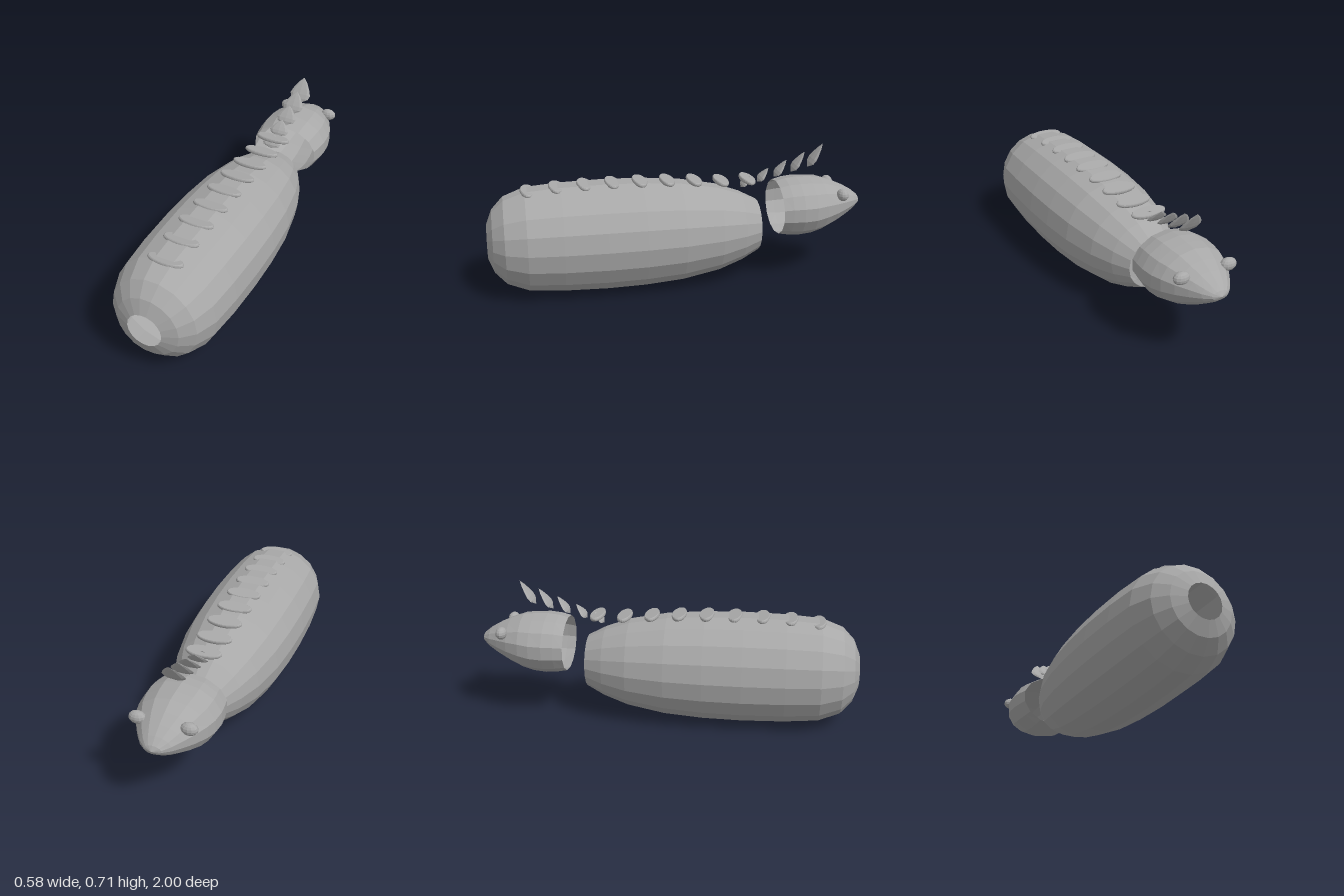
import * as THREE from 'three';

// Open or pointed skin through elliptical rings; each ring is [z, radiusX, radiusY, centreY].
function loft(rings, sides, start) {
  const pos = [], index = [];
  for (const [z, rx, ry, cy] of rings) {
    for (let i = 0; i < sides; i++) {
      const a = start + (i / sides) * Math.PI * 2;
      pos.push(rx * Math.cos(a), cy + ry * Math.sin(a), z);
    }
  }
  for (let r = 0; r < rings.length - 1; r++) {
    for (let i = 0; i < sides; i++) {
      const j = (i + 1) % sides;
      const a = r * sides + i, b = r * sides + j;
      const c = a + sides, d = b + sides;
      index.push(a, c, b, b, c, d);
    }
  }
  const g = new THREE.BufferGeometry();
  g.setAttribute('position', new THREE.Float32BufferAttribute(pos, 3));
  g.setIndex(index);
  g.computeVertexNormals();
  return g;
}

export function createModel() {
  const model = new THREE.Group();
  const grey = new THREE.MeshStandardMaterial({ color: 0xa8a8a8 });
  grey.name = 'grey';
  grey.flatShading = true;
  grey.side = THREE.DoubleSide;

  function add(name, geometry, parent = model) {
    const mesh = new THREE.Mesh(geometry, grey);
    mesh.name = name;
    parent.add(mesh);
    return mesh;
  }

  // Barrel body, open at both ends
  const bodyProfile = [
    [1, 0.091], [0.97, 0.165], [0.91, 0.228], [0.8, 0.27], [0.62, 0.284], [0.4, 0.289],
    [0.2, 0.285], [0, 0.27], [-0.2, 0.233], [-0.33, 0.187], [-0.425, 0.138],
  ];
  add('body', loft(bodyProfile.map(([z, r]) => [z, r, r, 0.286]), 18, 0));

  // Separate head shell, open towards the body and tapering to the snout
  add('head', loft([
    [-0.53, 0.187, 0.142, 0.379], [-0.58, 0.196, 0.153, 0.381], [-0.64, 0.203, 0.158, 0.382],
    [-0.71, 0.198, 0.153, 0.384], [-0.77, 0.183, 0.142, 0.39], [-0.84, 0.152, 0.114, 0.394],
    [-0.9, 0.115, 0.084, 0.397], [-0.95, 0.08, 0.053, 0.399], [-0.985, 0.044, 0.024, 0.4],
    [-1, 0, 0, 0.4],
  ], 14, Math.PI / 2));

  // Eyes
  for (const side of [1, -1]) {
    const eye = add(side > 0 ? 'leftEye' : 'rightEye', new THREE.SphereGeometry(1, 12, 8));
    eye.scale.set(0.043, 0.032, 0.03);
    eye.position.set(side * 0.128, 0.463, -0.862);
  }

  // Row of tilted oval plates along the back
  const plates = new THREE.Group();
  plates.name = 'backPlates';
  model.add(plates);
  const plateShape = new THREE.LatheGeometry([
    [0, -0.01], [0.087, -0.01], [0.093, -0.006], [0.095, 0],
    [0.093, 0.006], [0.087, 0.01], [0, 0.01],
  ].map(([x, y]) => new THREE.Vector2(x, y)), 24);
  const plateHeights = [0.543, 0.542, 0.552, 0.56, 0.564, 0.564, 0.562, 0.556, 0.542];
  plateHeights.forEach((y, i) => {
    const plate = add('backPlate', plateShape, plates);
    plate.scale.z = 0.42;
    plate.position.set(0, y, -0.37 + i * 0.144);
    plate.rotation.x = -0.17;
  });

  // Crest of leaf-shaped spines growing towards the head
  const crest = new THREE.Group();
  crest.name = 'crest';
  model.add(crest);
  const spineShape = new THREE.LatheGeometry([
    [0, 0], [0.052, 0.2], [0.06, 0.36], [0.048, 0.56], [0.027, 0.8], [0, 1],
  ].map(([x, y]) => new THREE.Vector2(x, y)), 8);
  for (let i = 0; i < 5; i++) {
    const base = new THREE.Vector3(0, 0.5 + 0.0225 * i, -0.335 - 0.0912 * i);
    const tip = new THREE.Vector3(0, 0.557 + 0.0395 * i, -0.387 - 0.099 * i);
    const axis = tip.clone().sub(base);
    const spine = add('spine', spineShape, crest);
    spine.position.copy(base);
    spine.scale.set(0.88 + 0.03 * i, axis.length(), 0.17);
    spine.rotation.x = Math.atan2(axis.z, axis.y);
  }

  return model;
}
